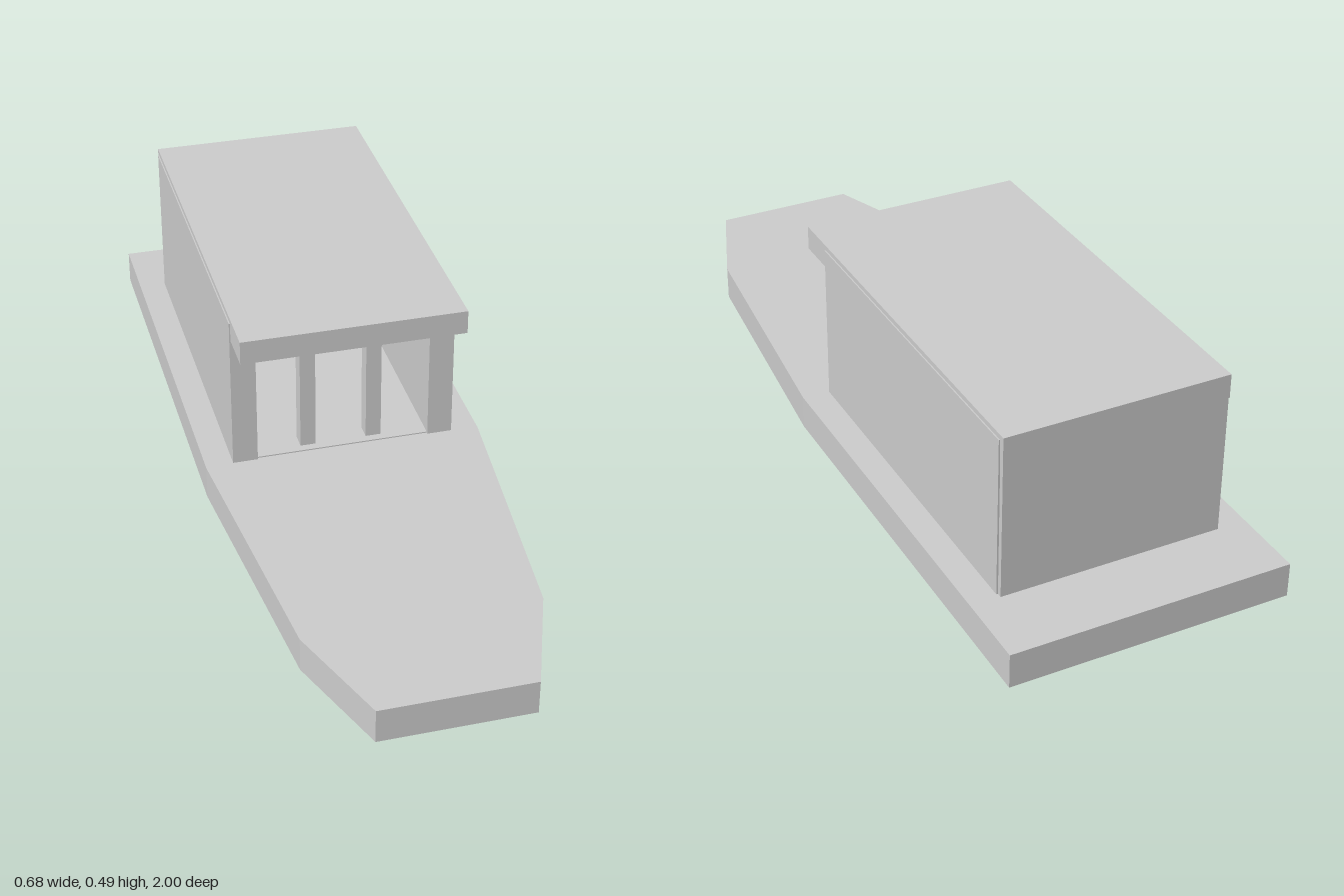
import * as THREE from 'three';

export function createModel() {
  const boat = new THREE.Group();
  boat.name = 'cabinBoat';
  const material = new THREE.MeshStandardMaterial({ color: 0xcccccc, flatShading: true });

  const add = (name, geometry) => {
    const mesh = new THREE.Mesh(geometry, material);
    mesh.name = name;
    boat.add(mesh);
  };

  // Box given by its limits on each axis
  const block = (name, [x0, x1], [y0, y1], [z0, z1]) =>
    add(name, new THREE.BoxGeometry(x1 - x0, y1 - y0, z1 - z0)
      .translate((x0 + x1) / 2, (y0 + y1) / 2, (z0 + z1) / 2));

  // Flat hull: half outline (x, z) mirrored, extruded upward
  const deck = 0.085;
  const half = [[0.341, -1], [0.341, 0.07], [0.276, 0.74], [0.179, 1]];
  const outline = [...half, ...half.map(([x, z]) => [-x, z]).reverse()];
  const hull = new THREE.ExtrudeGeometry(
    new THREE.Shape(outline.map(([x, z]) => new THREE.Vector2(x, -z))),
    { depth: deck, bevelEnabled: false });
  add('hull', hull.rotateX(-Math.PI / 2));

  // Cabin, open at the front
  block('cabinFloor', [-0.213, 0.213], [deck - 0.01, deck + 0.003], [-0.78, 0.06]);
  block('backWall', [-0.27, 0.27], [deck, 0.478], [-0.824, -0.765]);
  block('lintel', [-0.213, 0.213], [0.365, 0.43], [0.0, 0.04]);
  block('roof', [-0.271, 0.271], [0.43, 0.489], [-0.826, 0.17]);

  // Side walls and front posts, mirrored
  for (const [side, s] of [['left', 1], ['right', -1]]) {
    const span = (a, b) => (s > 0 ? [a, b] : [-b, -a]);
    block(side + 'Wall', span(0.213, 0.274), [deck, 0.477], [-0.812, 0.065]);
    block(side + 'Post', span(0.063, 0.101), [deck, 0.365], [0.0, 0.04]);
  }
  return boat;
}
